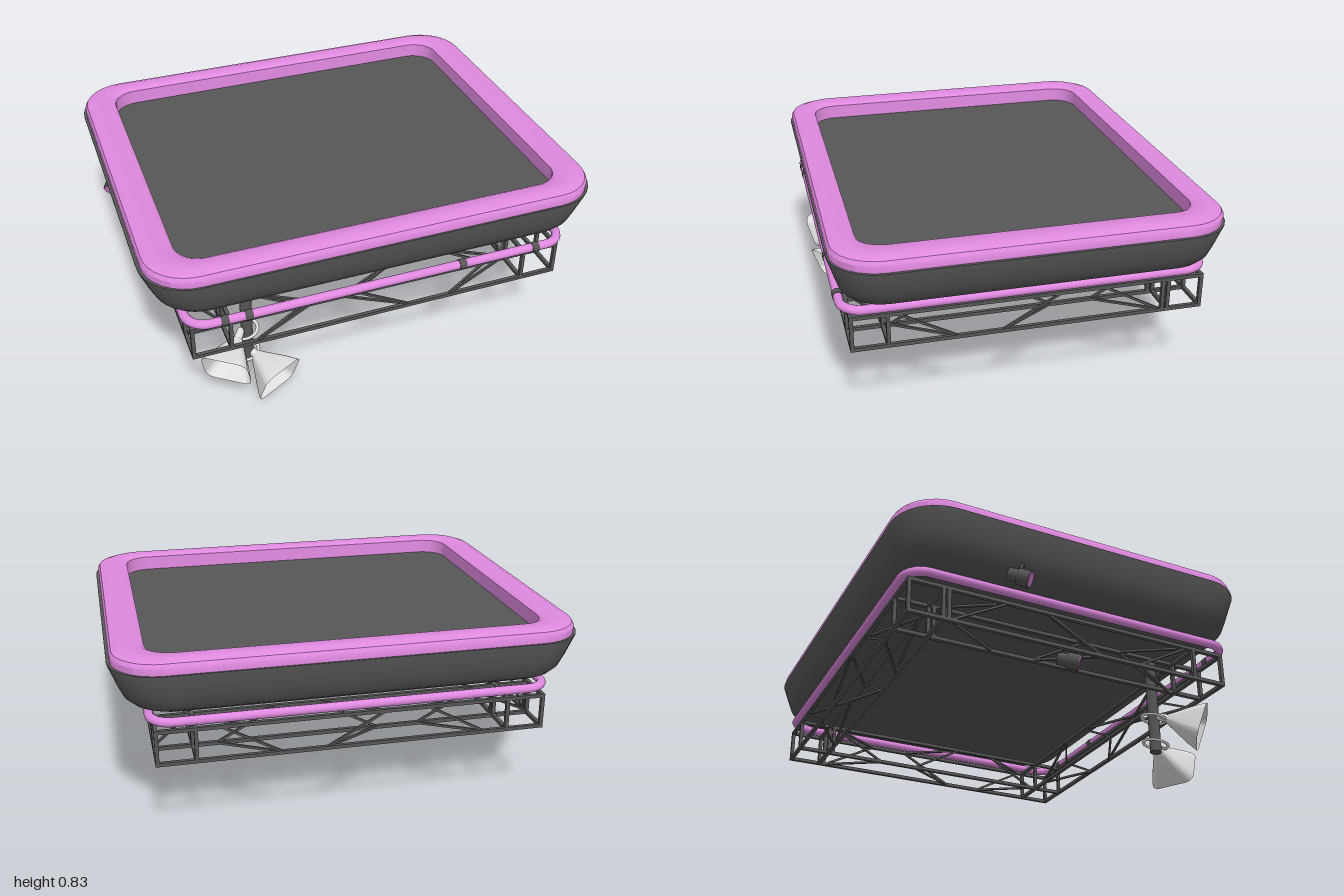
import * as THREE from 'three';
import { toCreasedNormals } from 'three/addons/utils/BufferGeometryUtils.js';

// Skin over stacked rounded rectangles: each ring is [halfX, halfZ, cornerRadius, y]
function loft(rings, crease = 0.6) {
  const seg = 8, pos = [], idx = [], n = 4 * (seg + 1);
  for (const [hx, hz, r, y] of rings) {
    for (let q = 0; q < 4; q++) {
      const sx = q === 0 || q === 3 ? 1 : -1, sz = q < 2 ? 1 : -1;
      for (let k = 0; k <= seg; k++) {
        const a = (q + k / seg) * Math.PI / 2;
        pos.push(sx * (hx - r) + r * Math.cos(a), y, sz * (hz - r) + r * Math.sin(a));
      }
    }
  }
  for (let i = 0; i < rings.length - 1; i++) {
    for (let j = 0; j < n; j++) {
      const a = i * n + j, b = i * n + (j + 1) % n, d = a + n, c = b + n;
      idx.push(a, d, b, d, c, b);
    }
  }
  const g = new THREE.BufferGeometry();
  g.setAttribute('position', new THREE.Float32BufferAttribute(pos, 3));
  g.setIndex(idx);
  return toCreasedNormals(g, crease);
}

export function createModel() {
  const root = new THREE.Group();
  root.name = 'hangingPanel';
  const material = (name, color, side = THREE.FrontSide) => {
    const m = new THREE.MeshStandardMaterial({ color, side });
    m.name = name;
    return m;
  };
  const dark = material('charcoal', 0x565656);
  const pink = material('orchidPink', 0xe08ae0);
  const grey = material('paleGrey', 0xe0e0e0, THREE.DoubleSide);

  const add = (parent, name, geo, mat, x = 0, y = 0, z = 0) => {
    const m = new THREE.Mesh(geo, mat);
    m.name = name;
    m.position.set(x, y, z);
    parent.add(m);
    return m;
  };
  const V = (x, y, z) => new THREE.Vector3(x, y, z);
  // Square bar between two points
  const bar = (parent, name, a, b, t) => {
    const m = add(parent, name, new THREE.BoxGeometry(t, t, a.distanceTo(b) + t), dark);
    m.position.copy(a).lerp(b, 0.5);
    m.lookAt(b);
  };
  // Group whose local +z points along dir
  const aimed = (name, at, dir) => {
    const g = new THREE.Group();
    g.name = name;
    g.position.copy(at);
    g.lookAt(at.clone().add(dir));
    root.add(g);
    return g;
  };

  // Shallow tray with rounded lower edge
  add(root, 'trayBody', loft([
    [0, 0, 0, 0.566], [0.81, 0.67, 0.1, 0.566], [0.865, 0.718, 0.13, 0.578],
    [0.912, 0.758, 0.16, 0.6], [0.942, 0.782, 0.18, 0.628], [0.965, 0.798, 0.19, 0.68],
    [0.999, 0.825, 0.21, 0.77], [0.999, 0.825, 0.21, 0.775], [0.95, 0.775, 0.18, 0.775],
  ]), dark);
  add(root, 'trayFloor', loft([[0.87, 0.73, 0.12, 0.758], [0, 0, 0, 0.758]]), dark);

  // Padded rim around the opening
  add(root, 'rim', loft([
    [0.986, 0.817, 0.2, 0.773], [0.987, 0.818, 0.2, 0.805], [0.977, 0.808, 0.19, 0.821],
    [0.945, 0.775, 0.17, 0.834], [0.863, 0.72, 0.13, 0.832], [0.845, 0.702, 0.11, 0.822],
    [0.843, 0.7, 0.11, 0.756],
  ]), pink);

  // Glowing tube loop under the tray, with clamps
  const tube = [];
  for (let i = 0; i <= 12; i++) {
    const a = i / 12 * Math.PI * 2, c = 0.02 * Math.cos(a);
    tube.push([0.847 + c, 0.768 + c, 0.09 + c, 0.55 + 0.02 * Math.sin(a)]);
  }
  add(root, 'tubeLoop', loft(tube, 1), pink, 0, 0, 0.013);
  const clampGeo = new THREE.CylinderGeometry(0.0225, 0.0225, 0.032, 16).rotateZ(Math.PI / 2);
  for (const x of [-0.7, -0.6, 0.35, 0.7]) add(root, 'tubeClamp', clampGeo, dark, x, 0.55, 0.781);

  // Box truss frame: four square-section trusses sharing the corners
  const truss = new THREE.Group();
  truss.name = 'trussFrame';
  root.add(truss);
  const X = [0.83, 0.67], Z = [0.748, 0.6], Y = [0.365, 0.508], t = 0.016;
  for (const s of [-1, 1]) {
    for (let k = 0; k < 2; k++) {
      const x = s * X[k], z = s * Z[k];
      for (const y of Y) {
        bar(truss, 'chordX', V(-X[0], y, z), V(X[0], y, z), t);
        bar(truss, 'chordZ', V(x, y, -Z[0]), V(x, y, Z[0]), t);
      }
      // Uprights, doubled at the rear joint
      for (const uz of [-Z[0], -Z[1], -0.576, Z[1], Z[0]]) {
        bar(truss, 'upright', V(x, Y[0], uz), V(x, Y[1], uz), t);
      }
      // Zigzag bracing, mirrored on the opposite face
      for (const c of [-0.44, 0, 0.44]) {
        const d = 0.13 * (k ? -1 : 1) * (c ? 1 : -1);
        bar(truss, 'braceX', V(c - d, Y[0], z), V(c + d, Y[1], z), 0.01);
        bar(truss, 'braceZ', V(x, Y[0], c - d), V(x, Y[1], c + d), 0.01);
        // Flat bracing on top and bottom
        bar(truss, 'flatBraceX', V(c - d, Y[k], s * Z[0]), V(c + d, Y[k], s * Z[1]), 0.01);
        bar(truss, 'flatBraceZ', V(s * X[0], Y[k], c - d), V(s * X[1], Y[k], c + d), 0.01);
      }
    }
  }

  // Drop pole carrying two horns
  add(root, 'pole', new THREE.CylinderGeometry(0.026, 0.026, 0.45, 16), dark, -0.555, 0.335, 0.56);
  const hornGeo = loft([
    [0.022, 0.02, 0.016, 0], [0.038, 0.034, 0.022, 0.03], [0.06, 0.053, 0.028, 0.07],
    [0.082, 0.071, 0.034, 0.11], [0.1, 0.085, 0.038, 0.148], [0.104, 0.088, 0.04, 0.158],
  ]).rotateX(Math.PI / 2);
  const horns = [
    [V(-0.608, 0.262, 0.6), V(-0.53, -0.32, 0.72), 0.27],
    [V(-0.53, 0.138, 0.59), V(0.4, -0.32, 0.75), 0.145],
  ];
  for (const [at, dir, ringY] of horns) {
    const h = aimed('horn', at, dir);
    add(h, 'hornBell', hornGeo, grey);
    const stem = new THREE.CylinderGeometry(0.02, 0.016, 0.06, 12).rotateX(Math.PI / 2);
    add(h, 'hornDriver', stem, grey, 0, 0, -0.02);
    add(h, 'hornPlug', new THREE.CylinderGeometry(0.007, 0.011, 0.07, 10).rotateX(Math.PI / 2), grey, 0, 0, 0.06);
    // Wire bracket around the pole
    const ring = add(root, 'hornBracket', new THREE.TorusGeometry(0.045, 0.006, 8, 24), grey, -0.565, ringY, 0.555);
    ring.rotation.set(Math.PI / 2 + 0.2, 0.15, 0);
    ring.scale.set(1.3, 1.2, 1);
  }

  // Two small spotlights on the right side
  const lamps = [
    [V(-0.938, 0.574, -0.31), V(-0.5, -0.38, 0.75)],
    [V(-0.81, 0.32, -0.02), V(-0.42, -0.22, 0.8)],
  ];
  for (const [at, dir] of lamps) {
    const l = aimed('spotlight', at, dir);
    const can = (r0, r1, len) => new THREE.CylinderGeometry(r0, r1, len, 16).rotateX(Math.PI / 2);
    add(l, 'lampHood', can(0.036, 0.034, 0.052), dark, 0, 0, 0.015);
    add(l, 'lampBack', can(0.03, 0.026, 0.045), dark, 0, 0, -0.03);
    add(l, 'lampLens', can(0.032, 0.032, 0.006), pink, 0, 0, 0.042);
    add(l, 'lampBracket', new THREE.BoxGeometry(0.02, 0.04, 0.014), dark, 0, 0.037, -0.012);
  }
  return root;
}
